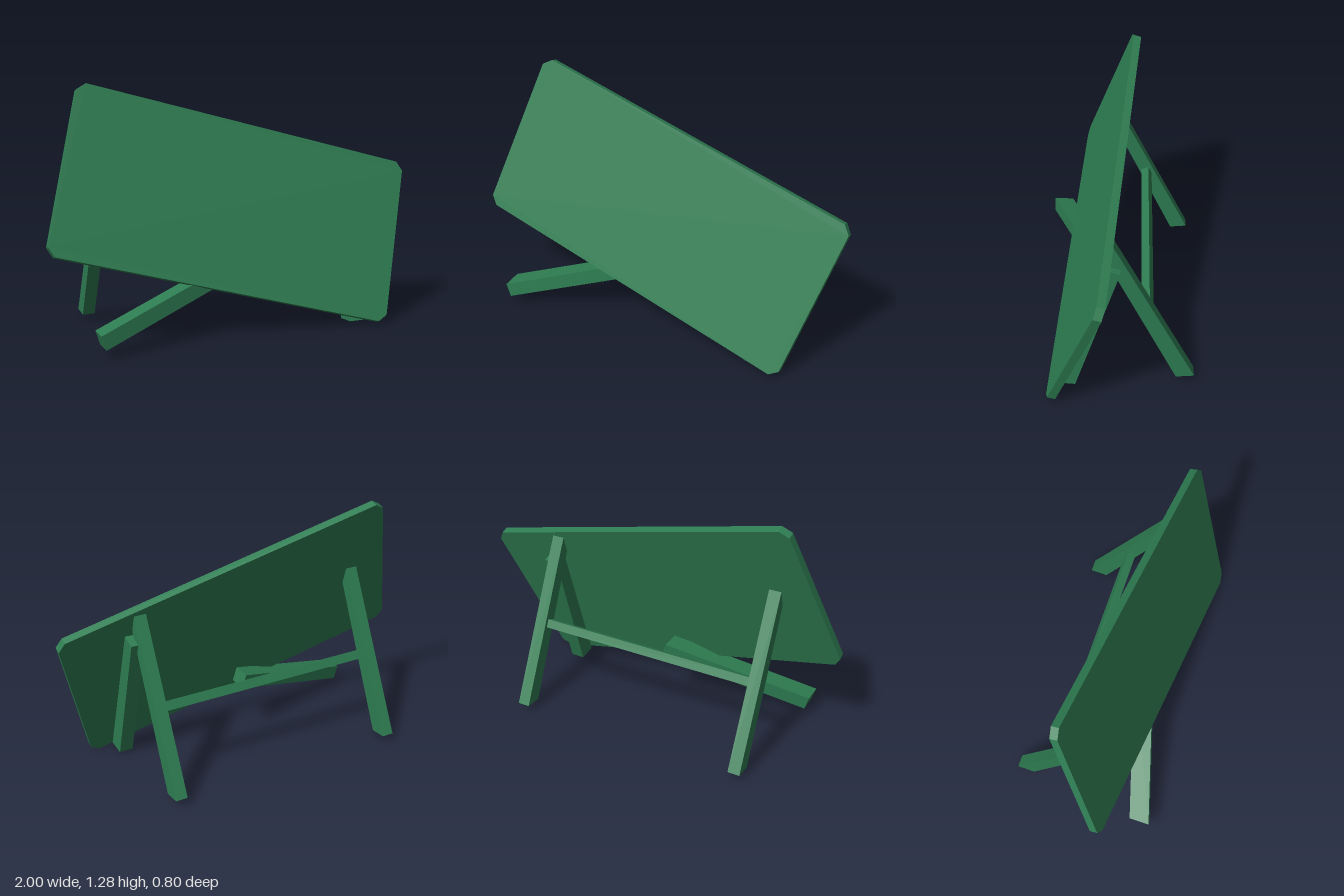
import * as THREE from 'three';

const green = new THREE.MeshStandardMaterial({ color: 0x2e7d52, flatShading: true });

// Box whose corners (i, j, k each 0 or 1) are moved by a rule
function block(name, rule) {
  const geo = new THREE.BoxGeometry(1, 1, 1);
  const p = geo.attributes.position;
  for (let n = 0; n < p.count; n++) {
    p.setXYZ(n, ...rule(p.getX(n) + 0.5, p.getY(n) + 0.5, p.getZ(n) + 0.5));
  }
  geo.computeVertexNormals();
  const mesh = new THREE.Mesh(geo, green);
  mesh.name = name;
  return mesh;
}

// Leg with a side profile: ends[bottom/top][back/front] = [y, z]
function leg(name, x0, x1, ends) {
  return block(name, (i, j, k) => [i ? x1 : x0, ...ends[j][k]]);
}

export function createModel() {
  const group = new THREE.Group();
  group.name = 'brokenSignBoard';

  // Board: rectangle with cut corners, rolled sideways and leaning back
  const w = 0.925, h = 0.443, c = 0.042, depth = 0.042;
  const outline = new THREE.Shape([
    [w - c, -h], [w, -h + c], [w, h - c], [w - c, h],
    [-w + c, h], [-w, h - c], [-w, -h + c], [-w + c, -h],
  ].map(([x, y]) => new THREE.Vector2(x, y)));
  const boardGeo = new THREE.ExtrudeGeometry(outline, { depth, bevelEnabled: false });
  boardGeo.translate(0, 0, -depth);
  boardGeo.rotateZ(-0.28);
  boardGeo.rotateX(-0.325);
  boardGeo.translate(0, 0.658, 0.14);
  const board = new THREE.Mesh(boardGeo, green);
  board.name = 'board';
  group.add(board);

  // Pair of rear legs
  const rear = [[[0.05, -0.398], [0.042, -0.305]], [[0.895, 0.018], [0.8, 0.046]]];
  group.add(leg('rearLegRight', -0.71, -0.645, rear));
  group.add(leg('rearLegLeft', 0.55, 0.615, rear));

  // Crossbar between the rear legs
  const bar = new THREE.Mesh(new THREE.BoxGeometry(1.2, 0.045, 0.045), green);
  bar.name = 'crossbar';
  bar.position.set(-0.047, 0.45, -0.155);
  bar.rotation.x = 0.45;
  group.add(bar);

  // Front leg still attached behind the board
  group.add(leg('frontLegLeft', 0.578, 0.652,
    [[[0.018, 0.21], [0.027, 0.308]], [[0.75, -0.02], [0.775, 0.06]]]));

  // Front leg that has come off and lies askew
  group.add(block('fallenLeg', (i, j, k) => [
    (j ? -0.805 : -0.782) + i * 0.757,
    (j ? 0.13 : 0.057) + i * 0.24,
    (k ? 0.398 : 0.29) - i * 0.225,
  ]));

  return group;
}
